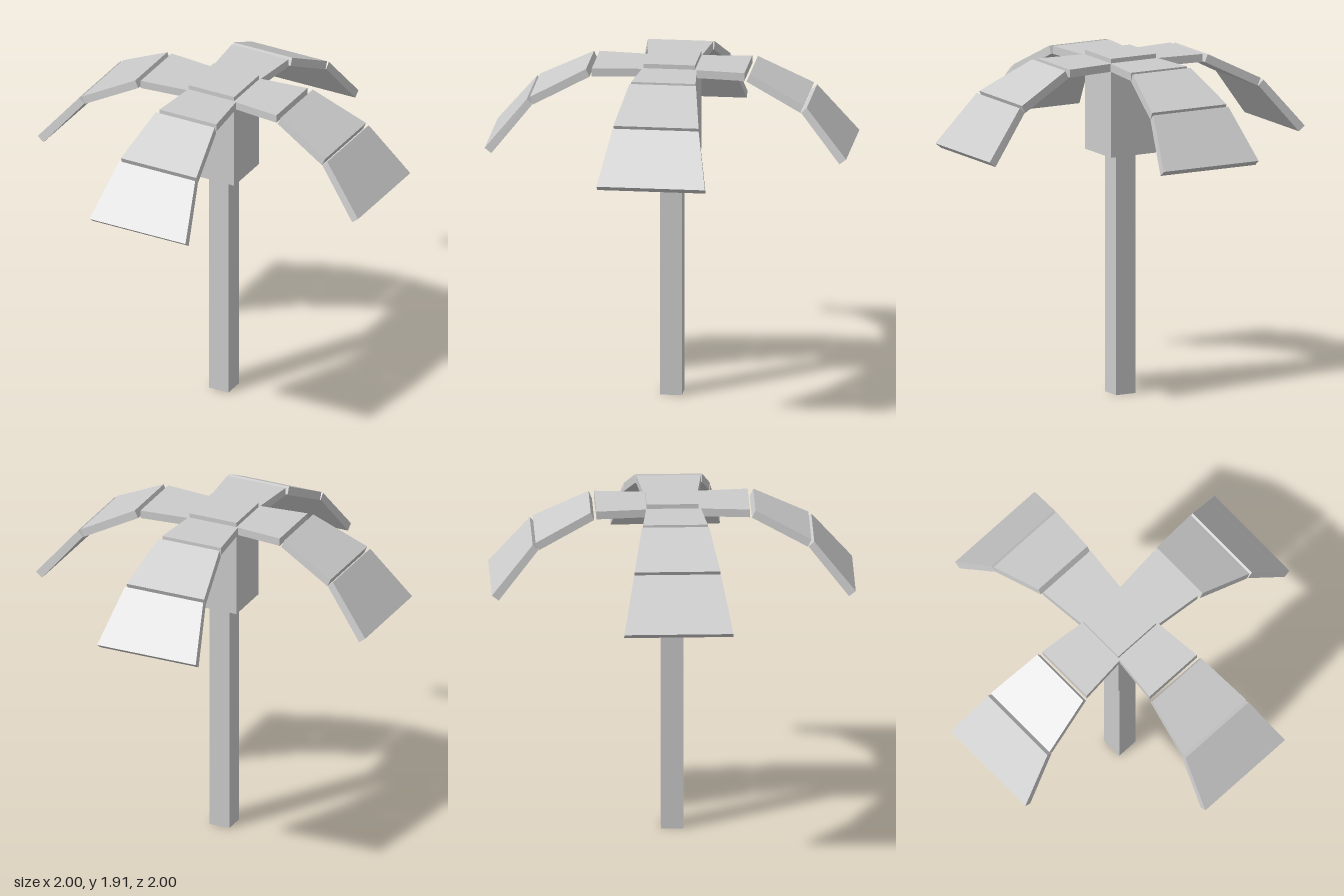
import * as THREE from 'three';

const material = new THREE.MeshStandardMaterial({ color: 0xcccccc, flatShading: true });
const openMaterial = new THREE.MeshStandardMaterial({ color: 0xcccccc, flatShading: true, side: THREE.DoubleSide });

// Tapered slab: profile corners are [distance out, height], half widths at the inner and outer ends
function slab({ topIn, topOut, botOut, botIn, wIn, wOut }) {
  const geo = new THREE.BoxGeometry(1, 1, 1);
  const p = geo.attributes.position;
  for (let i = 0; i < p.count; i++) {
    const outer = p.getZ(i) > 0;
    const top = p.getY(i) > 0;
    const [z, y] = outer ? (top ? topOut : botOut) : (top ? topIn : botIn);
    p.setXYZ(i, Math.sign(p.getX(i)) * (outer ? wOut : wIn), y, z);
  }
  geo.computeVertexNormals();
  return new THREE.Mesh(geo, material);
}

// Three leaf segments, drooping outwards
const segments = [
  { name: 'innerLeaf', topIn: [0.14, 1.885], topOut: [0.422, 1.885], botOut: [0.422, 1.84], botIn: [0.14, 1.84], wIn: 0.15, wOut: 0.178 },
  { name: 'middleLeaf', topIn: [0.453, 1.882], topOut: [0.758, 1.727], botOut: [0.739, 1.685], botIn: [0.434, 1.839], wIn: 0.184, wOut: 0.236 },
  { name: 'outerLeaf', topIn: [0.774, 1.716], topOut: [1.0, 1.446], botOut: [0.963, 1.417], botIn: [0.743, 1.686], wIn: 0.238, wOut: 0.3 },
];

export function createModel() {
  const model = new THREE.Group();
  model.name = 'palmTree';

  // Square trunk, open at the foot
  const trunk = new THREE.Mesh(
    new THREE.CylinderGeometry(0.061 * Math.SQRT2, 0.061 * Math.SQRT2, 1.36, 4, 1, true).rotateY(Math.PI / 4),
    openMaterial
  );
  trunk.name = 'trunk';
  trunk.position.set(-0.001, 0.68, -0.001);
  model.add(trunk);

  // Block the fronds grow from
  const crown = new THREE.Mesh(new THREE.BoxGeometry(0.285, 0.555, 0.285), material);
  crown.name = 'crown';
  crown.position.set(-0.002, 1.6325, -0.002);
  model.add(crown);

  // Four fronds around the crown
  ['frontFrond', 'leftFrond', 'backFrond', 'rightFrond'].forEach((name, i) => {
    const frond = new THREE.Group();
    frond.name = name;
    for (const s of segments) {
      const leaf = slab(s);
      leaf.name = s.name;
      leaf.position.x = 0.004;
      frond.add(leaf);
    }
    frond.rotation.y = (i * Math.PI) / 2;
    model.add(frond);
  });

  return model;
}
